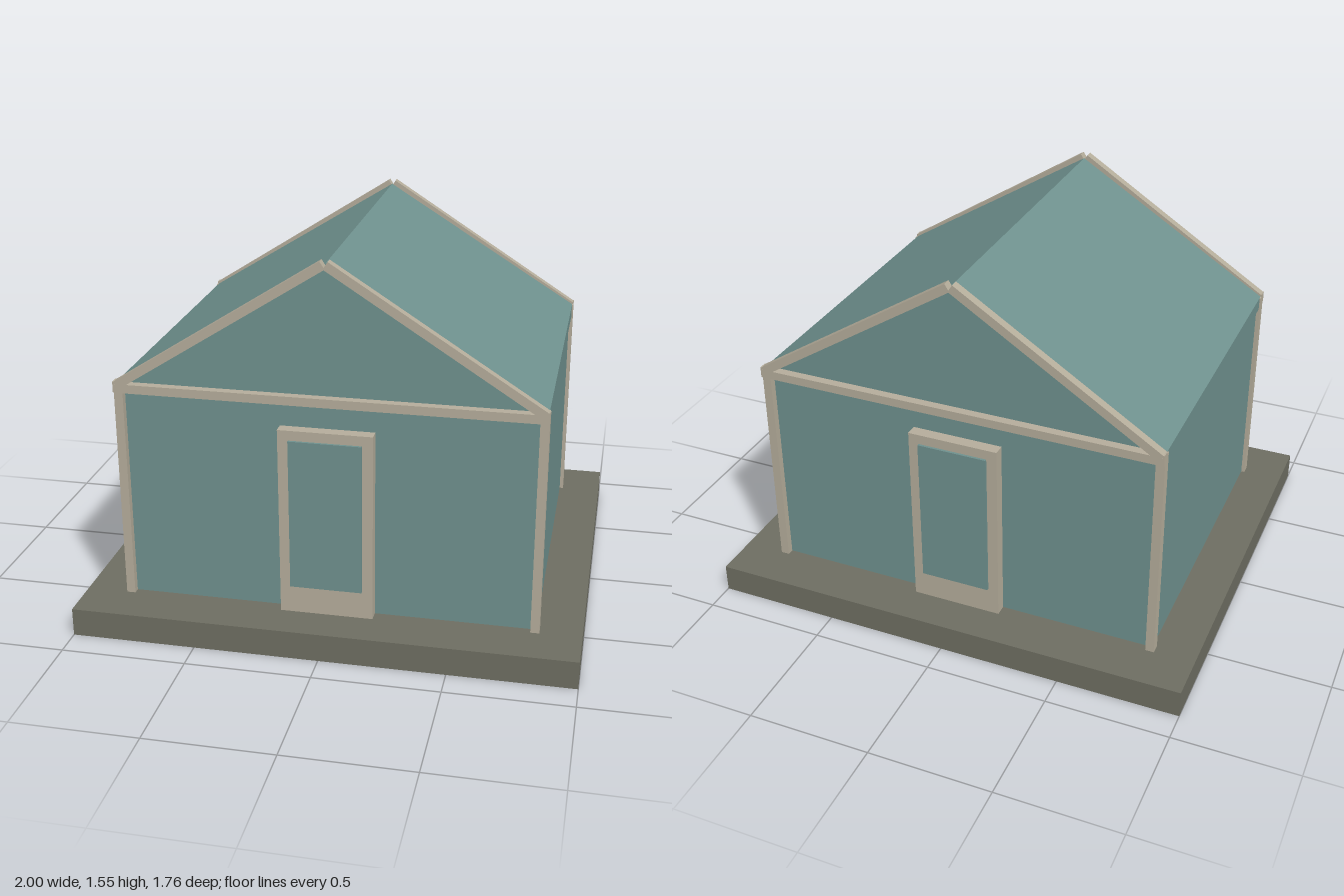
import * as THREE from 'three';

const teal = new THREE.MeshStandardMaterial({ color: 0x6f918e });
teal.name = 'teal panel';
const beige = new THREE.MeshStandardMaterial({ color: 0xb5ad9b });
beige.name = 'beige trim';
const stone = new THREE.MeshStandardMaterial({ color: 0x6e6e62 });
stone.name = 'stone base';

export function createModel() {
  const house = new THREE.Group();
  house.name = 'house';

  const add = (name, geometry, material, x = 0, y = 0, z = 0) => {
    const mesh = new THREE.Mesh(geometry, material);
    mesh.name = name;
    mesh.position.set(x, y, z);
    house.add(mesh);
    return mesh;
  };
  // Box given by its lowest and highest y
  const block = (name, material, w, y0, y1, d, x = 0, z = 0) =>
    add(name, new THREE.BoxGeometry(w, y1 - y0, d), material, x, (y0 + y1) / 2, z);
  // Outline in x and y, extruded along z and centred
  const prism = (name, material, points, depth) => {
    const shape = new THREE.Shape(points.map(([x, y]) => new THREE.Vector2(x, y)));
    const geometry = new THREE.ExtrudeGeometry(shape, { depth, bevelEnabled: false });
    add(name, geometry, material, 0, 0, -depth / 2);
  };

  block('base', stone, 2, 0, 0.115, 1.76);
  block('walls', teal, 1.64, 0.115, 1.0, 1.345);

  // Recessed gable and the roof shell above it
  prism('gable', teal, [[-0.8, 0.985], [0.8, 0.985], [0, 1.485]], 1.3);
  prism('roof', teal, [
    [-0.83, 0.965], [0, 1.48], [0.83, 0.965],
    [0.83, 1.02], [0, 1.535], [-0.83, 1.02],
  ], 1.35);

  // Trim and doors are the same on the front and back
  const run = 0.815, rise = 0.52;
  const slope = Math.atan2(rise, run);
  const length = Math.hypot(run, rise);
  for (const end of [1, -1]) {
    block('tieBeam', beige, 1.67, 0.985, 1.02, 0.035, 0, end * 0.6925);
    block('doorFrame', beige, 0.37, 0.115, 0.887, 0.06, 0, end * 0.69);
    block('doorPanel', teal, 0.285, 0.23, 0.847, 0.03, 0, end * 0.715);
    for (const side of [1, -1]) {
      block('cornerPost', beige, 0.035, 0.115, 1.02, 0.04, side * 0.8175, end * 0.68);
      const board = add('gableBoard', new THREE.BoxGeometry(length, 0.035, 0.035), beige,
        side * (0.015 + run / 2 - 0.0175 * Math.sin(slope)),
        1.55 - rise / 2 - 0.0175 * Math.cos(slope), end * 0.6925);
      board.rotation.z = -side * slope;
      // Short cap where the sloping board meets the tie beam
      block('gableCorner', beige, 0.03, 0.985, 1.03, 0.034, side * 0.82, end * 0.6925);
    }
  }
  return house;
}
